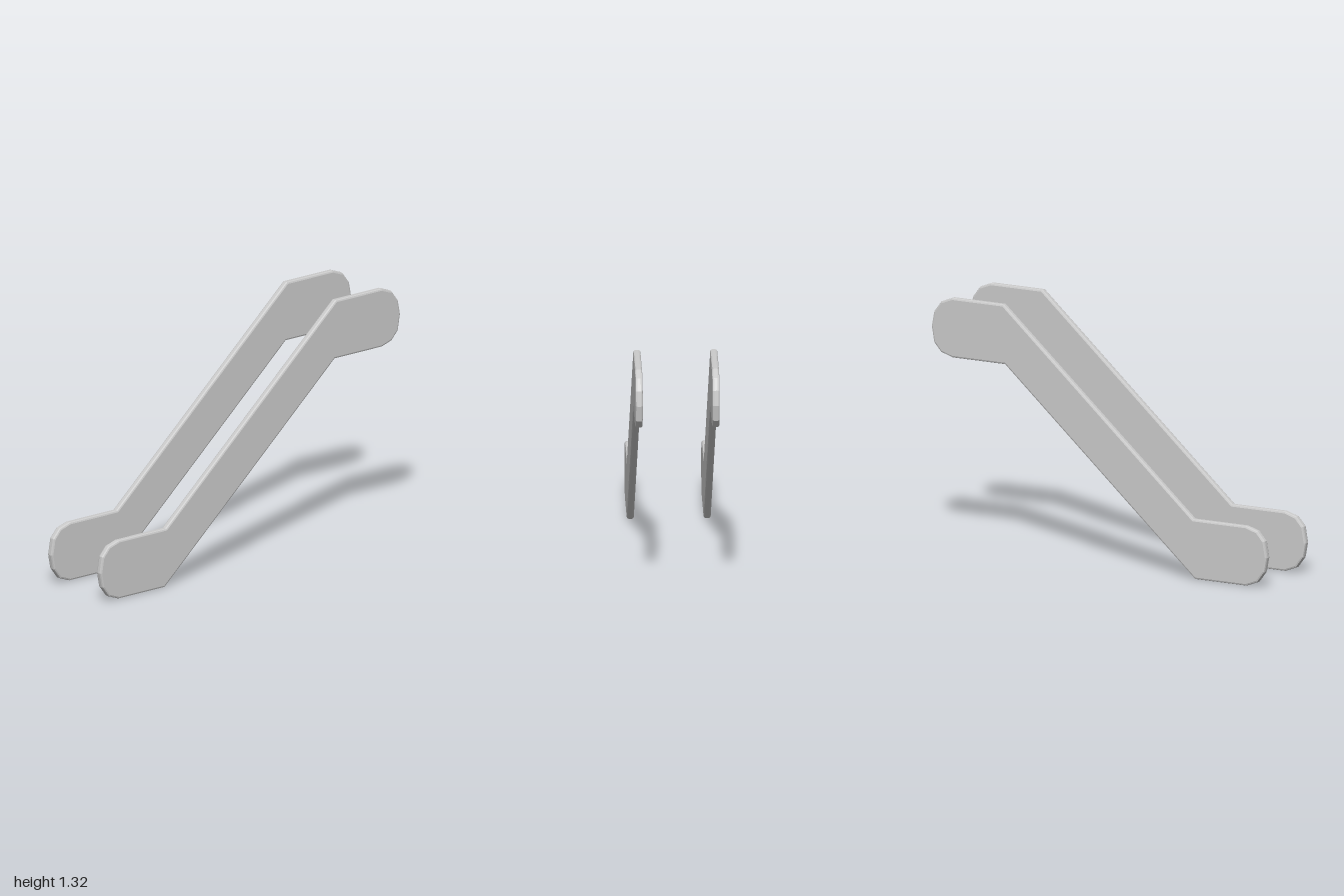
import * as THREE from 'three';

const THICKNESS = 0.037;
const BEVEL = 0.01;
const HEIGHT = 1.319;
const SPACING = 0.198; // distance of each plate from the middle

// Half of the side outline as [z, y]: rounded front foot, then the upper bend.
const HALF = [
  [0.571, 0], [0.876, 0], [0.943, 0.026], [0.985, 0.082], [1, 0.16],
  [0.985, 0.246], [0.943, 0.294], [0.876, 0.315], [0.562, 0.315],
];

function createPlateGeometry() {
  // The upper rear half is the front half turned by 180 degrees.
  const outline = [...HALF, ...HALF.map(([z, y]) => [-z, HEIGHT - y])];
  const shape = new THREE.Shape(outline.map(([z, y]) => new THREE.Vector2(z, y)));
  const depth = THICKNESS - 2 * BEVEL;
  const geometry = new THREE.ExtrudeGeometry(shape, {
    depth,
    steps: 1,
    bevelEnabled: true,
    bevelThickness: BEVEL,
    bevelSize: BEVEL,
    bevelOffset: -BEVEL,
    bevelSegments: 2,
  });
  geometry.translate(0, 0, -depth / 2);
  geometry.rotateY(-Math.PI / 2); // outline x runs along +z
  return geometry;
}

export function createModel() {
  const model = new THREE.Group();
  model.name = 'sideRails';
  const material = new THREE.MeshStandardMaterial({ color: 0xcccccc, flatShading: true });
  const geometry = createPlateGeometry();

  // Matching left and right plates
  for (const [name, side] of [['leftRail', 1], ['rightRail', -1]]) {
    const rail = new THREE.Mesh(geometry, material);
    rail.name = name;
    rail.position.x = side * SPACING;
    model.add(rail);
  }
  return model;
}
